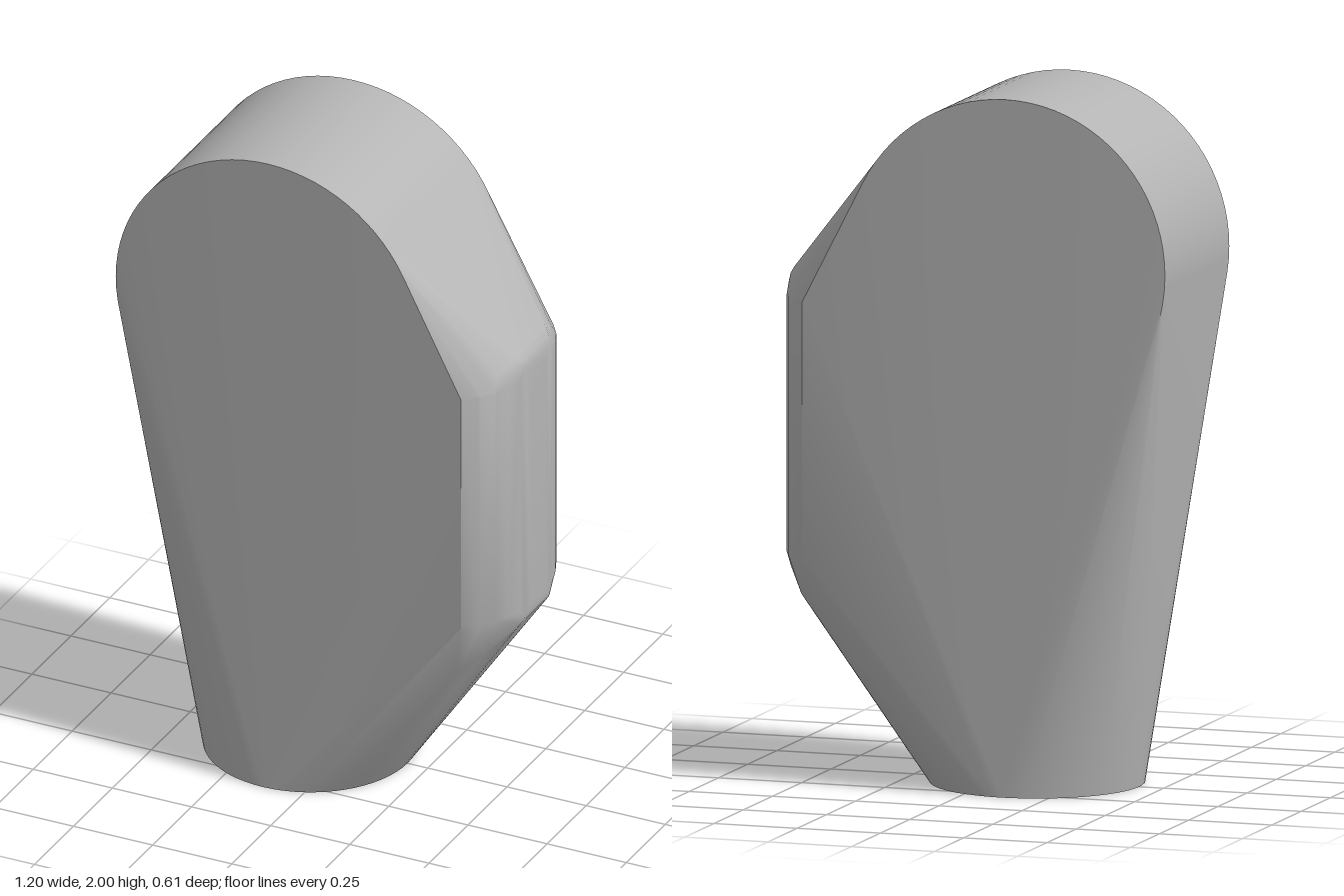
import * as THREE from 'three';
import { ConvexGeometry } from 'three/addons/geometries/ConvexGeometry.js';
import { toCreasedNormals } from 'three/addons/utils/BufferGeometryUtils.js';

const CENTRE_X = -0.12;

export function createModel() {
  const group = new THREE.Group();
  group.name = 'taperedHead';
  const grey = new THREE.MeshStandardMaterial({ color: 0xb4b4b4 });
  grey.name = 'plain grey';

  const points = [];
  const add = (x, y, z) => points.push(new THREE.Vector3(x, y, z));
  const addPair = (x, y, z) => { add(x, y, z); add(x, y, -z); };

  // Round foot on the ground
  const footSides = 64;
  for (let i = 0; i < footSides; i++) {
    const a = (i / footSides) * Math.PI * 2;
    add(CENTRE_X + 0.306 * Math.cos(a), 0, 0.306 * Math.sin(a));
  }

  // Large drum at the top, its axis running front to back
  const drumSides = 80;
  for (let i = 0; i < drumSides; i++) {
    const a = (i / drumSides) * Math.PI * 2;
    addPair(CENTRE_X + 0.48 * Math.cos(a), 1.52 + 0.48 * Math.sin(a), 0.275);
  }

  // Bowed upright edge: [x, z] across half of its width
  const bow = [[0.49, 0.275], [0.53, 0.238], [0.56, 0.195], [0.58, 0.15], [0.593, 0.105], [0.6, 0.05]];
  for (const [x, z] of bow) for (const y of [0.645, 1.385]) addPair(x, y, z);

  // Rounded ends of the upright edge: [x, distance from its middle height, z]
  const ends = [[0.597, 0.4, 0.08], [0.589, 0.42, 0.09], [0.575, 0.44, 0.1], [0.555, 0.41, 0.17]];
  for (const [x, d, z] of ends) for (const side of [-1, 1]) addPair(x, 1.015 + side * d, z);

  // Lower shoulders running down into the foot
  addPair(0.46, 0.48, 0.235);
  addPair(0.525, 0.53, 0.18);

  // One skin stretched round all the sections
  const body = new THREE.Mesh(toCreasedNormals(new ConvexGeometry(points), 0.45), grey);
  body.name = 'body';
  group.add(body);
  return group;
}
